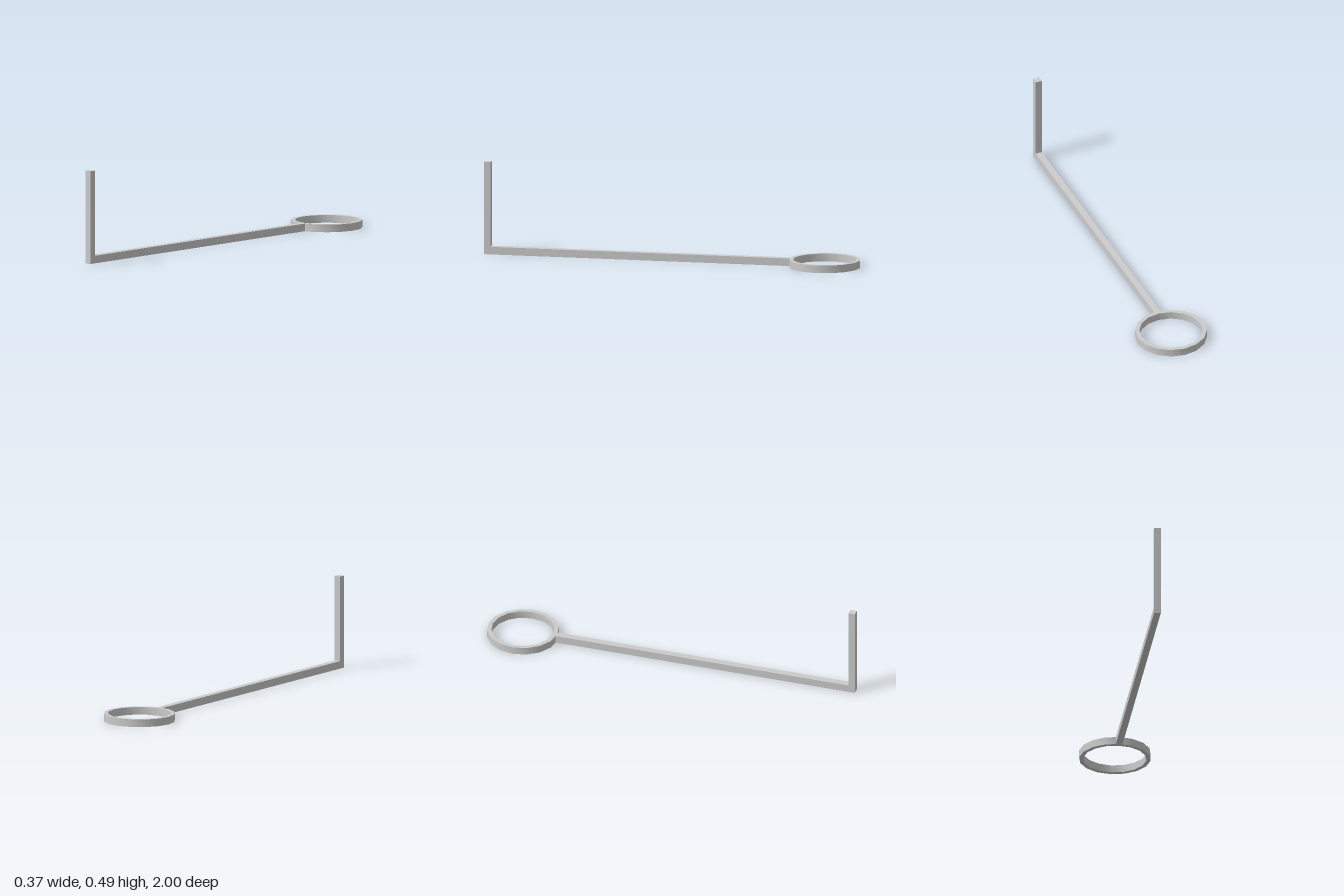
import * as THREE from 'three';
import { toCreasedNormals } from 'three/addons/utils/BufferGeometryUtils.js';

export function createModel() {
  const group = new THREE.Group();
  const material = new THREE.MeshStandardMaterial({ color: 0xcccccc });
  const height = 0.04, width = 0.035;
  const outer = 0.187, inner = 0.165, ringZ = -1 + outer;

  const add = (name, geometry) => {
    const mesh = new THREE.Mesh(geometry, material);
    mesh.name = name;
    group.add(mesh);
    return mesh;
  };

  // L-shaped square bar: long arm on the ground, upright at the front
  const barBack = ringZ + outer - 0.012;
  const profile = new THREE.Shape([
    [barBack, 0], [1, 0], [1, 0.488], [1 - width, 0.488], [1 - width, height], [barBack, height],
  ].map(([z, y]) => new THREE.Vector2(z, y)));
  const bar = new THREE.ExtrudeGeometry(profile, { depth: width, bevelEnabled: false });
  bar.translate(0, 0, -width / 2).rotateY(-Math.PI / 2);
  add('bentBar', bar);

  // Flat 16-sided ring at the back end
  const section = [[inner, 0], [outer, 0], [outer, height], [inner, height], [inner, 0]]
    .map(([r, y]) => new THREE.Vector2(r, y));
  const ring = toCreasedNormals(new THREE.LatheGeometry(section, 16), Math.PI / 6);
  add('ring', ring).position.z = ringZ;

  return group;
}
